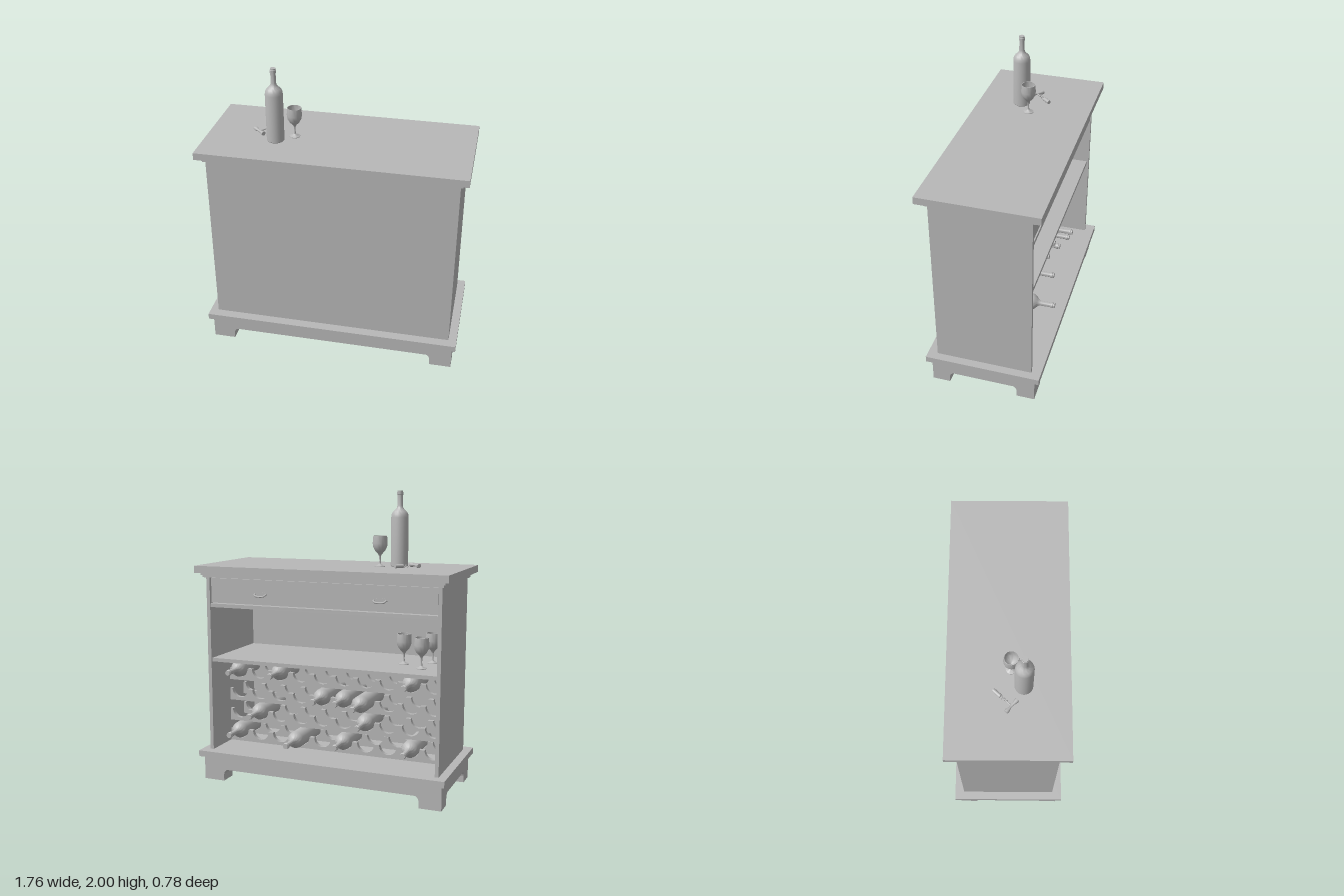
import * as THREE from 'three';
import { toCreasedNormals } from 'three/addons/utils/BufferGeometryUtils.js';

const grey = new THREE.MeshStandardMaterial({ color: 0xb8b8b8 });
grey.name = 'plain grey';

function mesh(parent, name, geometry, x = 0, y = 0, z = 0) {
  const m = new THREE.Mesh(geometry, grey);
  m.name = name;
  m.position.set(x, y, z);
  parent.add(m);
  return m;
}

// Box given by its lower and upper limits on each axis
function slab(parent, name, x0, x1, y0, y1, z0, z1) {
  return mesh(parent, name, new THREE.BoxGeometry(x1 - x0, y1 - y0, z1 - z0),
    (x0 + x1) / 2, (y0 + y1) / 2, (z0 + z1) / 2);
}

function lathe(profile, sides = 28) {
  const points = profile.map(([r, y]) => new THREE.Vector2(r, y));
  return toCreasedNormals(new THREE.LatheGeometry(points, sides), 0.6);
}

const bottleGeometry = lathe([
  [0, 0], [0.054, 0], [0.058, 0.005], [0.058, 0.325], [0.055, 0.345], [0.046, 0.362],
  [0.03, 0.376], [0.021, 0.388], [0.018, 0.402], [0.017, 0.47], [0.021, 0.472],
  [0.021, 0.488], [0.018, 0.49], [0.018, 0.5], [0, 0.5],
]);

const glassGeometry = lathe([
  [0, 0], [0.035, 0], [0.035, 0.004], [0.018, 0.01], [0.007, 0.02], [0.005, 0.04],
  [0.006, 0.07], [0.014, 0.085], [0.033, 0.105], [0.046, 0.13], [0.05, 0.155],
  [0.046, 0.205], [0.043, 0.205], [0.046, 0.155], [0.042, 0.132], [0.03, 0.11], [0, 0.09],
]);

// Corner foot: a block that flares into the plinth along both of its inner sides
function foot(parent, sx, sz) {
  const g = new THREE.Group();
  g.name = 'foot';
  const profile = (w) => {
    const s = new THREE.Shape();
    s.moveTo(0, 0);
    s.lineTo(w, 0);
    s.lineTo(w, 0.045);
    s.quadraticCurveTo(w + 0.005, 0.075, w + 0.03, 0.082);
    s.lineTo(0, 0.082);
    return s;
  };
  const options = (depth) => ({ depth, bevelEnabled: false, curveSegments: 6 });
  mesh(g, 'footLong', new THREE.ExtrudeGeometry(profile(0.15), options(0.12)));
  const side = mesh(g, 'footShort', new THREE.ExtrudeGeometry(profile(0.12), options(0.15)), 0.15);
  side.rotation.y = -Math.PI / 2;
  g.position.set(-0.855 * sx, 0, -0.355 * sz);
  g.scale.set(sx, 1, sz);
  parent.add(g);
}

// Scalloped rail that carries ten bottles
const PITCH = 0.16;
const slotX = (i) => 0.72 - i * PITCH;
function railGeometry() {
  const s = new THREE.Shape();
  s.moveTo(-0.8, -0.085);
  s.lineTo(0.8, -0.085);
  s.lineTo(0.8, 0);
  for (let i = 0; i < 10; i++) {
    s.lineTo(slotX(i) + 0.062, 0);
    s.absarc(slotX(i), 0, 0.062, 0, Math.PI, true);
  }
  s.lineTo(-0.8, 0);
  return new THREE.ExtrudeGeometry(s, { depth: 0.03, bevelEnabled: false, curveSegments: 12 });
}

function drawerHandle(parent, x) {
  const g = new THREE.Group();
  g.name = 'drawerHandle';
  const plate = mesh(g, 'handlePlate', new THREE.CylinderGeometry(0.02, 0.02, 0.006, 20));
  plate.rotation.x = Math.PI / 2;
  plate.scale.x = 2.4;
  const curve = new THREE.CatmullRomCurve3([
    [-0.042, 0.004, 0], [-0.04, 0, -0.014], [-0.028, -0.008, -0.02],
    [0.028, -0.008, -0.02], [0.04, 0, -0.014], [0.042, 0.004, 0],
  ].map((p) => new THREE.Vector3(...p)));
  mesh(g, 'handleBail', new THREE.TubeGeometry(curve, 24, 0.006, 8));
  g.position.set(x, 1.315, -0.313);
  parent.add(g);
}

function corkscrew(parent) {
  const g = new THREE.Group();
  g.name = 'corkscrew';
  // Waisted grip lying across the shaft
  const grip = mesh(g, 'grip', lathe([
    [0, -0.052], [0.014, -0.052], [0.015, -0.04], [0.008, -0.015], [0.008, 0.015],
    [0.015, 0.04], [0.014, 0.052], [0, 0.052]], 16));
  grip.rotation.x = Math.PI / 2;
  const shaft = mesh(g, 'shaft', new THREE.CylinderGeometry(0.005, 0.005, 0.04, 10), 0.022);
  shaft.rotation.z = Math.PI / 2;
  const coil = [];
  for (let i = 0; i <= 24; i++) {
    const a = (i / 24) * Math.PI * 5;
    coil.push(new THREE.Vector3(0.04 + i * 0.0024, Math.sin(a) * 0.007, Math.cos(a) * 0.007));
  }
  mesh(g, 'worm', new THREE.TubeGeometry(new THREE.CatmullRomCurve3(coil), 60, 0.003, 6));
  const cork = mesh(g, 'cork', new THREE.CylinderGeometry(0.013, 0.013, 0.06, 16), 0.122);
  cork.rotation.z = Math.PI / 2;
  g.position.set(-0.545, 1.516, 0.02);
  g.rotation.y = 0.84;
  parent.add(g);
}

export function createModel() {
  const model = new THREE.Group();
  model.name = 'wineCabinet';

  // Plinth, feet and base board
  slab(model, 'plinth', -0.855, 0.855, 0.08, 0.168, -0.355, 0.355);
  for (const sx of [1, -1]) for (const sz of [1, -1]) foot(model, sx, sz);
  slab(model, 'baseBoard', -0.88, 0.88, 0.168, 0.21, -0.39, 0.39);

  // Carcass, open towards -z
  slab(model, 'frontPanel', -0.825, 0.825, 0.21, 1.42, 0.3, 0.325);
  for (const s of [1, -1]) {
    slab(model, 'sidePanel', s * 0.8125 - 0.0125, s * 0.8125 + 0.0125, 0.21, 1.42, -0.325, 0.3);
  }
  slab(model, 'shelf', -0.8, 0.8, 0.835, 0.86, -0.31, 0.3);
  slab(model, 'drawerRail', -0.8, 0.8, 1.215, 1.24, -0.318, 0.3);

  // Top with stepped moulding
  slab(model, 'lowerMoulding', -0.84, 0.84, 1.42, 1.437, -0.345, 0.345);
  slab(model, 'upperMoulding', -0.85, 0.85, 1.437, 1.452, -0.355, 0.355);
  slab(model, 'topBoard', -0.88, 0.88, 1.452, 1.5, -0.39, 0.39);

  // Drawer
  slab(model, 'drawer', -0.795, 0.795, 1.246, 1.414, -0.312, 0.28);
  for (const x of [-0.42, 0.42]) drawerHandle(model, x);

  // Bottle rack: two rails per row; each entry is [slot, z of the bottle's base]
  const rail = railGeometry();
  const rows = [
    [0.295, [[0, 0.25], [3, 0.165], [5, 0.25], [8, 0.25]]],
    [0.445, [[1, 0.25], [6, 0.25]]],
    [0.595, [[4, 0.25], [5, 0.25], [6, 0.16]]],
    [0.745, [[0, 0.25], [2, 0.25], [8, 0.25]]],
  ];
  for (const [y, bottles] of rows) {
    mesh(model, 'rackRail', rail, 0, y, -0.07);
    mesh(model, 'rackRail', rail, 0, y, 0.13);
    for (const [slot, z] of bottles) {
      mesh(model, 'lyingBottle', bottleGeometry, slotX(slot), y, z).rotation.x = -Math.PI / 2;
    }
  }

  // Glasses on the shelf
  for (const [x, z] of [[-0.49, -0.02], [-0.64, -0.12], [-0.66, 0.08]]) {
    mesh(model, 'shelfGlass', glassGeometry, x, 0.86, z);
  }

  // Bottle, glass and corkscrew on the top
  mesh(model, 'standingBottle', bottleGeometry, -0.413, 1.5, 0.095);
  mesh(model, 'wineGlass', glassGeometry, -0.303, 1.5, 0.017);
  corkscrew(model);

  return model;
}
